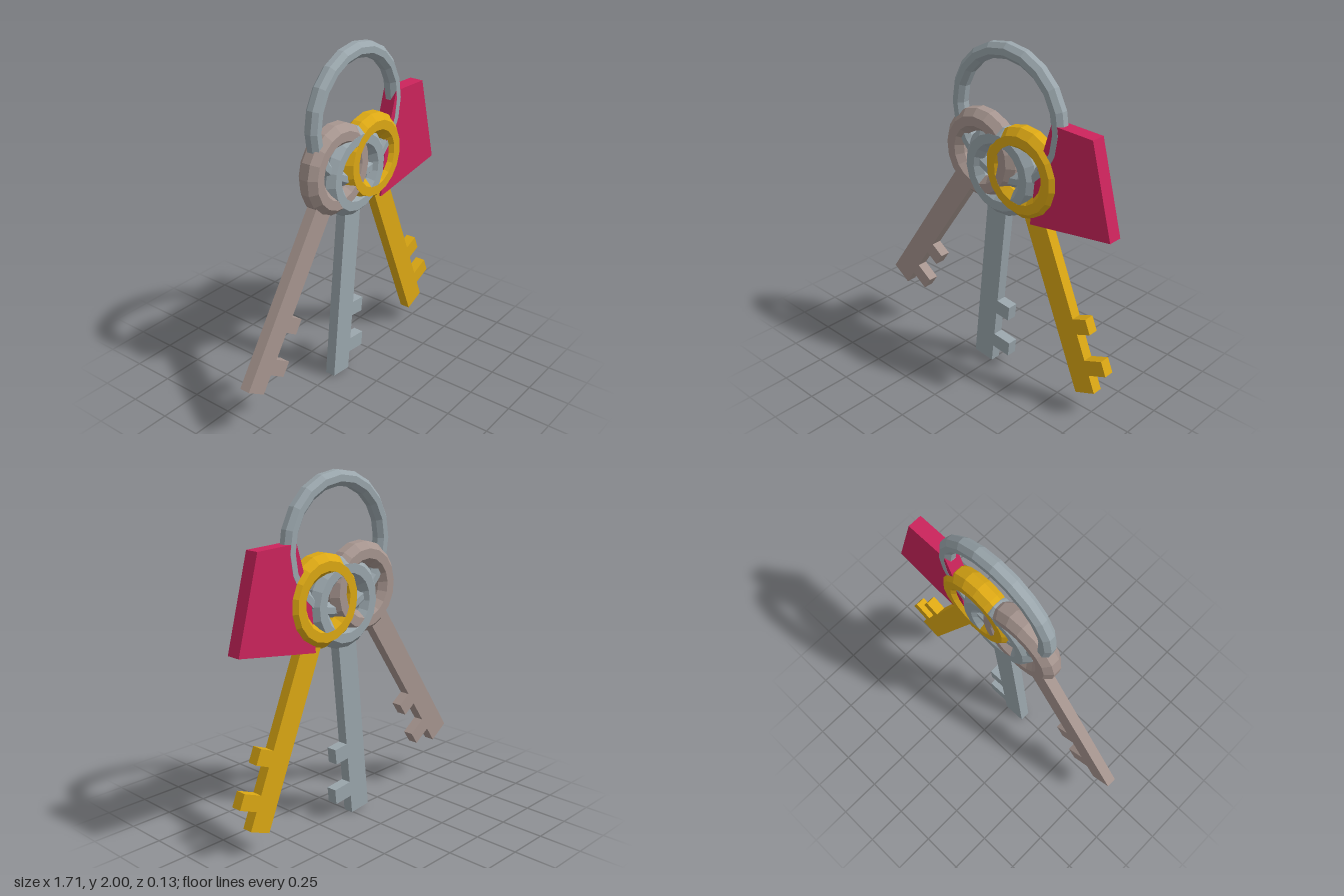
import * as THREE from 'three';

const OCT = Math.PI / 8;

function material(color) {
  return new THREE.MeshStandardMaterial({ color, flatShading: true });
}

// Ring facing +z whose octagonal section has flat front, back, inner and outer sides
function ring(name, radius, halfThickness, segments, mat) {
  const r = halfThickness / Math.cos(OCT);
  const profile = [];
  for (let i = 0; i <= 8; i++) {
    const a = OCT + (i * Math.PI) / 4;
    profile.push(new THREE.Vector2(radius + r * Math.cos(a), r * Math.sin(a)));
  }
  const geometry = new THREE.LatheGeometry(profile, segments);
  geometry.rotateX(Math.PI / 2);
  const mesh = new THREE.Mesh(geometry, mat);
  mesh.name = name;
  return mesh;
}

// Flat plate cut from an outline and centred on z = 0
function plate(name, outline, thickness, mat) {
  const shape = new THREE.Shape(outline.map(([x, y]) => new THREE.Vector2(x, y)));
  const geometry = new THREE.ExtrudeGeometry(shape, { depth: thickness, bevelEnabled: false });
  geometry.translate(0, 0, -thickness / 2);
  const mesh = new THREE.Mesh(geometry, mat);
  mesh.name = name;
  return mesh;
}

// Key hanging from the centre of its bow, with two teeth on its +x side
function key(name, x, y, degrees, color, depthScale) {
  const group = new THREE.Group();
  group.name = name;
  const mat = material(color);
  const tip = -1.28, w = 0.069;
  const outline = [[-w, -0.2], [-w, tip], [w, tip]];
  for (const [from, to, reach] of [[0.11, 0.2, 0.19], [0.355, 0.445, 0.162]]) {
    outline.push([w, tip + from], [reach, tip + from], [reach, tip + to], [w, tip + to]);
  }
  outline.push([w, -0.2]);
  const bow = ring('keyBow', 0.195, 0.065, 18, mat);
  bow.scale.z = depthScale; // keeps overlapping bow faces apart
  group.add(bow, plate('keyBlade', outline, 0.062, mat));
  group.position.set(x, y, 0);
  group.rotation.z = THREE.MathUtils.degToRad(degrees);
  return group;
}

export function createModel() {
  const model = new THREE.Group();
  model.name = 'keyRing';

  // Large ring that holds everything
  const holder = ring('holderRing', 0.357, 0.043, 20, material(0x9aa6ac));
  holder.position.set(0.1, 1.6, 0);
  model.add(holder);

  // Three fanned keys
  model.add(
    key('brownKey', -0.08, 1.34, -34.2, 0xa6958f, 0.996),
    key('greyKey', 0.07, 1.28, -5.9, 0x9aa6ac, 1),
    key('yellowKey', 0.225, 1.313, 22.7, 0xdca814, 1.004)
  );

  // Slanted tag
  const tag = [[0.302, 1.043], [0.835, 1.125], [0.695, 1.643], [0.43, 1.65], [0.33, 1.32]];
  model.add(plate('tag', tag, 0.084, material(0xcc245c)));

  return model;
}
